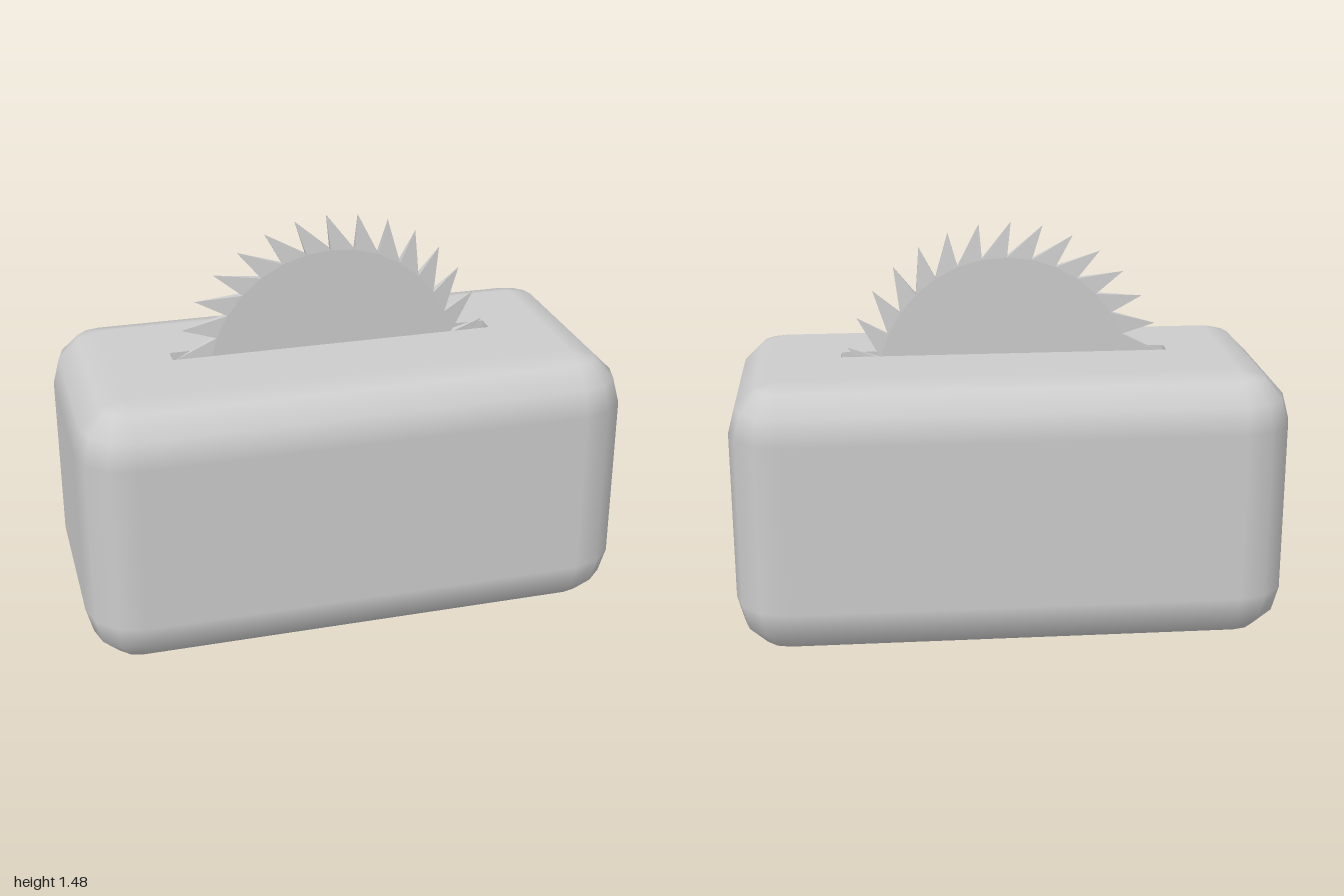
import * as THREE from 'three';

const material = new THREE.MeshStandardMaterial({ color: 0xcccccc });
const bladeMaterial = new THREE.MeshStandardMaterial({ color: 0xcccccc, flatShading: true });

const R = 0.19, STEPS = 3;                 // corner radius and its facets
const CX = 1 - R, CZ = 0.5 - R;            // extent of the flat faces
const SLOT = { length: 1.2, width: 0.068, depth: 0.78 };

function add(group, name, geometry, mat = material) {
  const mesh = new THREE.Mesh(geometry, mat);
  mesh.name = name;
  group.add(mesh);
  return mesh;
}

// Rounded sides of the block: stacked rings of rounded rectangles
function shellGeometry() {
  const positions = [], normals = [], index = [];
  const quarter = Math.PI / 2, n = 4 * (STEPS + 1);
  for (const half of [0, 1]) {
    for (let j = 0; j <= STEPS; j++) {
      const phi = (half - 1 + j / STEPS) * quarter;
      const c = Math.cos(phi), s = Math.sin(phi);
      for (let corner = 0; corner < 4; corner++) {
        const sx = corner === 0 || corner === 3 ? 1 : -1;
        const sz = corner < 2 ? 1 : -1;
        for (let k = 0; k <= STEPS; k++) {
          const t = (corner + k / STEPS) * quarter;
          const nx = c * Math.cos(t), nz = c * Math.sin(t);
          positions.push(sx * CX + R * nx, (half ? 1 - R : R) + R * s, sz * CZ + R * nz);
          normals.push(nx, s, nz);
        }
      }
    }
  }
  const rings = 2 * (STEPS + 1);
  for (let j = 0; j < rings - 1; j++) {
    for (let i = 0; i < n; i++) {
      const a = j * n + i, b = j * n + (i + 1) % n;
      index.push(a, a + n, b, b, a + n, b + n);
    }
  }
  const g = new THREE.BufferGeometry();
  g.setAttribute('position', new THREE.Float32BufferAttribute(positions, 3));
  g.setAttribute('normal', new THREE.Float32BufferAttribute(normals, 3));
  g.setIndex(index);
  return g;
}

function rectangle(path, w, d) {
  path.moveTo(-w / 2, -d / 2);
  path.lineTo(w / 2, -d / 2);
  path.lineTo(w / 2, d / 2);
  path.lineTo(-w / 2, d / 2);
  path.closePath();
  return path;
}

// Flat top with the slot opening
function topGeometry() {
  const shape = rectangle(new THREE.Shape(), 2 * CX, 2 * CZ);
  shape.holes.push(rectangle(new THREE.Path(), SLOT.length, SLOT.width));
  return new THREE.ShapeGeometry(shape).rotateX(-Math.PI / 2).translate(0, 1, 0);
}

// Open-topped pocket, facing inwards
function slotGeometry() {
  const g = new THREE.BoxGeometry(SLOT.length, SLOT.depth, SLOT.width);
  const faces = Array.from(g.index.array);
  faces.splice(12, 6);
  g.setIndex(faces);
  g.clearGroups();
  g.scale(-1, 1, 1).translate(0, 1 - SLOT.depth / 2, 0);
  g.computeVertexNormals();
  return g;
}

// Disc with raked teeth that sharpen to points
function bladeGeometry() {
  const teeth = 32, rootRadius = 0.467, tipRadius = 0.597, h = 0.014;
  const pitch = 2 * Math.PI / teeth, start = THREE.MathUtils.degToRad(92.2);
  const rake = THREE.MathUtils.degToRad(1.2);
  const at = (r, angle, z) => [r * Math.cos(angle), r * Math.sin(angle), z];
  const p = [];
  const tri = (a, b, c) => p.push(...a, ...b, ...c);
  for (let i = 0; i < teeth; i++) {
    const tipAngle = start + i * pitch;
    const a1 = tipAngle - rake, a0 = a1 - pitch;
    const f0 = at(rootRadius, a0, h), f1 = at(rootRadius, a1, h);
    const b0 = at(rootRadius, a0, -h), b1 = at(rootRadius, a1, -h);
    const tip = at(tipRadius, tipAngle, 0);
    tri([0, 0, h], f0, f1);
    tri([0, 0, -h], b1, b0);
    tri(f0, tip, f1);
    tri(b1, tip, b0);
    tri(b0, tip, f0);
    tri(f1, tip, b1);
  }
  const g = new THREE.BufferGeometry();
  g.setAttribute('position', new THREE.Float32BufferAttribute(p, 3));
  g.computeVertexNormals();
  return g;
}

export function createModel() {
  const model = new THREE.Group();
  model.name = 'sawBlock';

  const block = new THREE.Group();
  block.name = 'block';
  add(block, 'blockSides', shellGeometry());
  add(block, 'blockTop', topGeometry());
  add(block, 'blockBottom', new THREE.PlaneGeometry(2 * CX, 2 * CZ).rotateX(Math.PI / 2));
  add(block, 'bladeSlot', slotGeometry());
  model.add(block);

  add(model, 'sawBlade', bladeGeometry(), bladeMaterial).position.y = 0.888;
  return model;
}
